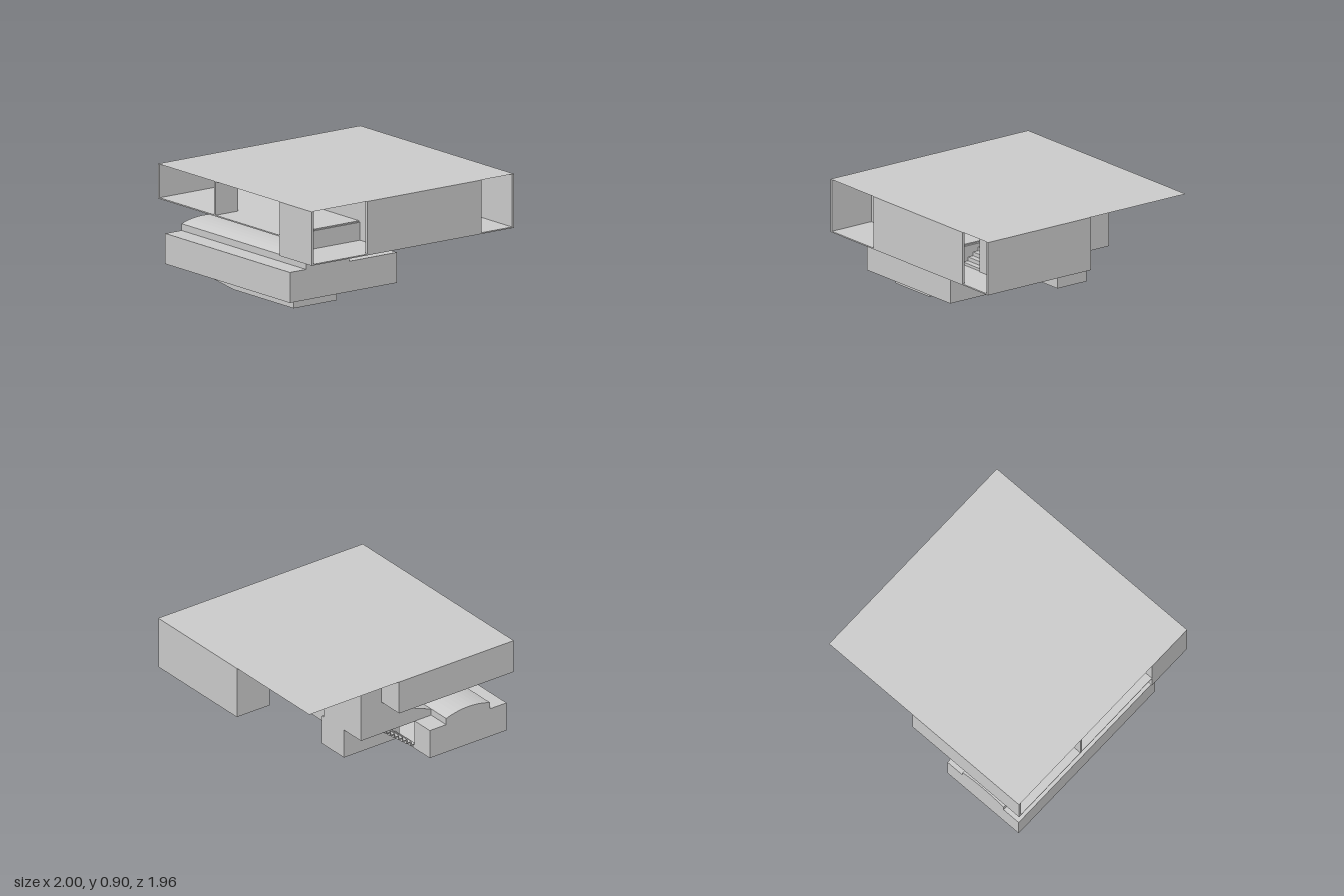
import * as THREE from 'three';

const T = 0.02; // wall thickness
const ROOF = 0.905, UPPER = 0.625, SUNKEN = 0.47, DECK = 0.345, GROUND = 0.1;

export function createModel() {
  const model = new THREE.Group();
  const mat = new THREE.MeshStandardMaterial({ color: 0xcccccc, flatShading: true, side: THREE.DoubleSide });

  const add = (name, geo) => {
    const m = new THREE.Mesh(geo, mat);
    m.name = name;
    model.add(m);
    return m;
  };
  const box = (name, x0, x1, y0, y1, z0, z1) =>
    add(name, new THREE.BoxGeometry(x1 - x0, y1 - y0, z1 - z0)
      .translate((x0 + x1) / 2, (y0 + y1) / 2, (z0 + z1) / 2));
  const shapeOf = pts => new THREE.Shape(pts.map(p => new THREE.Vector2(p[0], p[1])));

  // run of thin walls through [x, z] points
  const walls = (name, y0, y1, pts) => {
    for (let i = 0; i + 1 < pts.length; i++) {
      const [a, b] = [pts[i], pts[i + 1]], h = T / 2;
      box(name, Math.min(a[0], b[0]) - h, Math.max(a[0], b[0]) + h, y0, y1,
        Math.min(a[1], b[1]) - h, Math.max(a[1], b[1]) + h);
    }
  };
  // flat slab with an [x, z] outline, underside at y
  const slab = (name, y, pts, thick = 0.01) =>
    add(name, new THREE.ExtrudeGeometry(shapeOf(pts), { depth: thick, bevelEnabled: false })
      .rotateX(Math.PI / 2).translate(0, y + thick, 0));
  // [x, y] profile drawn out along z
  const alongZ = (name, shape, z0, z1) =>
    add(name, new THREE.ExtrudeGeometry(shape, { depth: z1 - z0, bevelEnabled: false, curveSegments: 10 })
      .translate(0, 0, z0));

  // ---- Roof ----
  add('roof', new THREE.PlaneGeometry(2, 1.96).rotateX(-Math.PI / 2).translate(0, ROOF, 0));

  // ---- Upper storey floors ----
  slab('upperFloor', UPPER, [[-1, -0.98], [0.12, -0.98], [0.12, -0.51], [-0.21, -0.51], [-0.21, -0.04],
    [0.53, -0.04], [0.53, 0.47], [0.28, 0.47], [0.28, 0.68], [-0.21, 0.68], [-0.21, 0.58], [-1, 0.58]]);
  slab('sunkenFloor', SUNKEN, [[-1, 0.57], [-0.21, 0.57], [-0.21, 0.67], [0.28, 0.67], [0.28, 0.47], [0.54, 0.47],
    [0.54, 0.67], [0.68, 0.67], [0.68, -0.04], [1, -0.04], [1, 0.98], [-1, 0.98]]);

  // risers between the two floor levels, with a short flight down
  walls('floorRiser', SUNKEN, UPPER, [[-0.99, 0.58], [-0.21, 0.58], [-0.21, 0.68], [0.29, 0.68],
    [0.29, 0.48], [0.53, 0.48], [0.53, 0.68]]);
  for (let i = 0; i < 4; i++)
    box('sunkenStep', 0.3, 0.52, SUNKEN, UPPER - (i + 1) * 0.031, 0.48 + i * 0.05, 0.53 + i * 0.05);

  // ---- Upper storey walls ----
  const top = ROOF - 0.001;
  walls('frontWall', SUNKEN, top, [[-0.44, 0.97], [0.67, 0.97]]);
  walls('balconySideWall', SUNKEN, top, [[-0.99, 0.97], [-0.99, 0.58], [-0.895, 0.58]]);
  walls('leftRoomWall', SUNKEN, top, [[0.99, 0.97], [0.99, -0.03], [0.69, -0.03], [0.69, 0.68], [0.54, 0.68]]);
  walls('courtWall', UPPER, top, [[0.53, 0.68], [0.53, -0.03], [-0.21, -0.03]]);
  walls('spineWall', UPPER, top, [[-0.21, -0.24], [-0.21, 0.67]]);
  walls('backWall', UPPER, top, [[-0.99, -0.97], [0.11, -0.97], [0.11, -0.51], [-0.21, -0.51]]);
  walls('sidePartition', UPPER, top, [[-0.99, -0.255], [-0.79, -0.255]]);

  // ---- Stair tower ----
  walls('towerWall', DECK, top, [[0.11, -0.74], [0.31, -0.74], [0.31, -0.28], [-0.2, -0.28]]);
  walls('towerPartition', UPPER, top, [[-0.2, -0.28], [-0.33, -0.265]]);
  walls('towerLowerWall', DECK, UPPER, [[0.11, -0.74], [-0.2, -0.74]]);
  walls('towerEndWall', 0.45, UPPER, [[-0.2, -0.74], [-0.2, -0.28]]);
  walls('stairDivider', DECK, UPPER, [[0.11, -0.52], [-0.2, -0.52]]);
  slab('stairLanding', DECK, [[0.1, -0.75], [0.32, -0.75], [0.32, -0.27], [0.1, -0.27]]);

  // folded stair flight; rises from x0 to x1
  const flight = (name, x0, x1, y0, y1, n, z0, z1) => {
    const dx = (x1 - x0) / n, dy = (y1 - y0) / n, up = [], under = [];
    for (let i = 0; i < n; i++) {
      const x = x0 + i * dx, y = y0 + i * dy, s = Math.sign(dx) * 0.008;
      up.push([x, y], [x, y + dy]);
      under.push([x + s, y - 0.008], [x + s, y + dy - 0.008]);
    }
    up.push([x1, y1]);
    under.push([x1, y1 - 0.008]);
    alongZ(name, shapeOf([...up, ...under.reverse()]), z0, z1);
  };
  flight('lowerStairs', -0.22, 0.1, GROUND + 0.01, DECK + 0.01, 8, -0.74, -0.53);
  flight('upperStairs', 0.1, -0.21, DECK + 0.01, UPPER + 0.01, 9, -0.51, -0.28);

  // ---- Lower storey ----
  slab('lowerFloor', GROUND, [[-0.96, 0.65], [0.1, 0.65], [0.1, -0.24], [0.32, -0.24], [0.32, -0.53],
    [-0.21, -0.53], [-0.21, -0.94], [-0.96, -0.94]]);
  walls('lowerWall', GROUND, DECK, [[-0.22, -0.75], [-0.22, -0.93], [-0.95, -0.93], [-0.95, 0.64], [0.09, 0.64],
    [0.09, -0.25], [0.31, -0.25], [0.31, -0.52], [-0.21, -0.52]]);
  box('lowerRoofEdge', -0.96, -0.8, DECK - 0.01, DECK, -0.94, 0.65);
  slab('lowerRoof', DECK - 0.01, [[-0.37, 0.65], [0.1, 0.65], [0.1, -0.24], [0.32, -0.24], [0.32, -0.53],
    [-0.21, -0.53], [-0.21, -0.27], [-0.37, -0.27]]);
  box('lowerRoofBack', -0.37, -0.21, DECK - 0.01, DECK, -0.94, -0.745);

  // curved roof light along the hall
  const vault = new THREE.Shape();
  vault.moveTo(-0.8, DECK - 0.01);
  vault.lineTo(-0.37, DECK - 0.01);
  vault.lineTo(-0.37, 0.4);
  vault.quadraticCurveTo(-0.585, 0.472, -0.8, 0.4);
  vault.closePath();
  alongZ('vaultRoof', vault, -0.94, 0.65);

  // sloping hood between vault and tower
  alongZ('stairHood', shapeOf([[-0.37, DECK - 0.01], [-0.21, DECK - 0.01], [-0.21, 0.457], [-0.37, 0.4]]), -0.745, -0.27);

  // ---- Pool basin with a sloping bottom, [z, y] profile drawn out along x ----
  const pool = shapeOf([[0.49, 0], [0.49, GROUND], [-0.79, GROUND], [-0.79, 0.035], [-0.53, 0.035], [-0.28, 0]]);
  add('poolBasin', new THREE.ExtrudeGeometry(pool, { depth: 0.43, bevelEnabled: false })
    .rotateY(-Math.PI / 2).translate(-0.37, 0, 0));

  return model;
}
